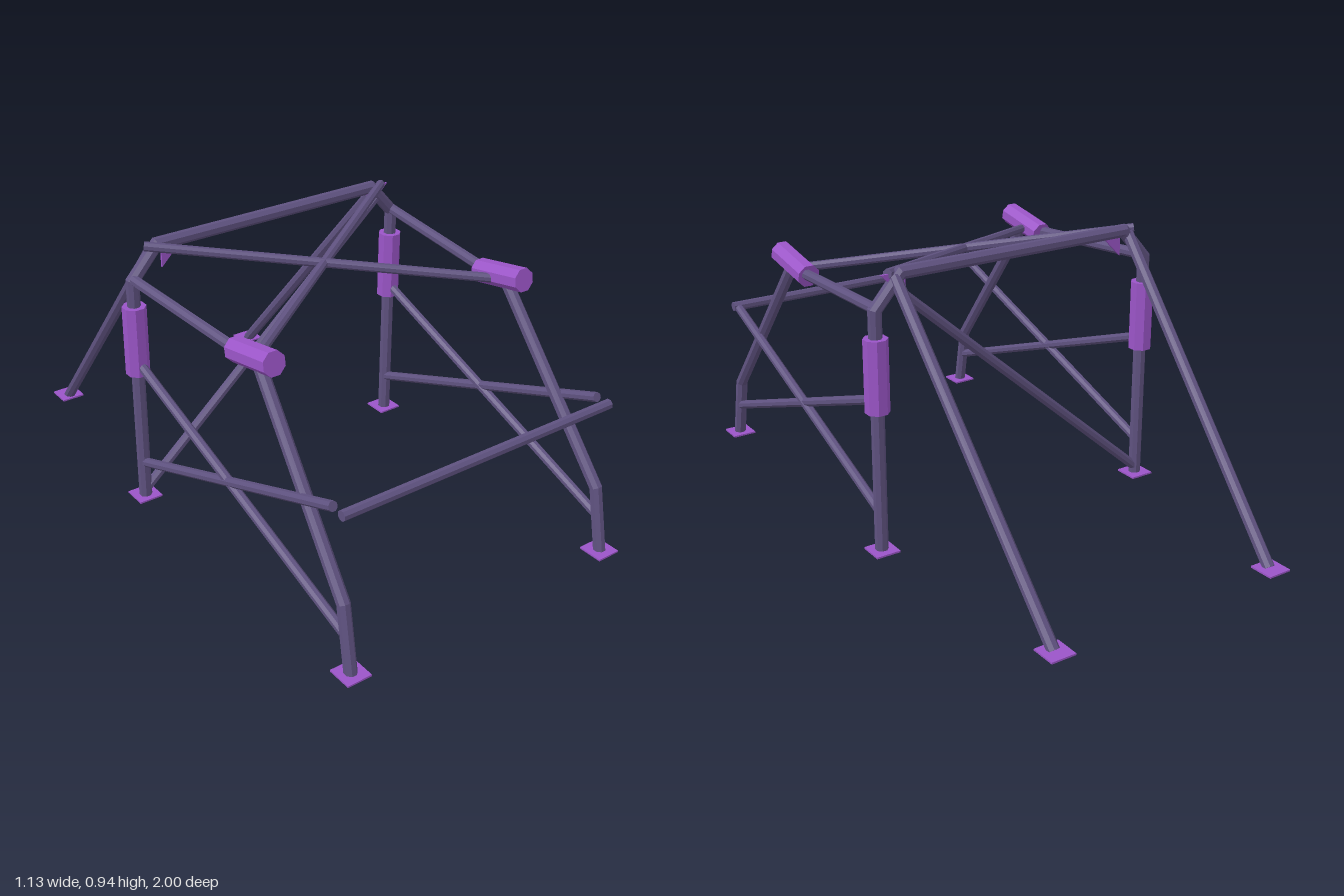
import * as THREE from 'three';

const V = (x, y, z) => new THREE.Vector3(x, y, z);
const SIDES = 8;

// Octagonal pipe through the given points, with mitred bends and closed ends
function pipeGeometry(points, r) {
  const n = points.length, pos = [], idx = [];
  const dirs = points.slice(1).map((p, i) => p.clone().sub(points[i]).normalize());
  const ref = Math.abs(dirs[0].y) > 0.9 ? V(0, 0, 1) : V(0, 1, 0);
  const u = ref.cross(dirs[0]).normalize();
  const v = dirs[0].clone().cross(u);
  let ring = [];
  for (let k = 0; k < SIDES; k++) {
    const a = (k + 0.5) / SIDES * Math.PI * 2;
    ring.push(points[0].clone().addScaledVector(u, r * Math.cos(a)).addScaledVector(v, r * Math.sin(a)));
  }
  ring.forEach(p => pos.push(p.x, p.y, p.z));
  for (let i = 1; i < n; i++) {
    const d = dirs[i - 1];
    const normal = d.clone().add(dirs[i] || d).normalize();
    ring = ring.map(p => p.clone().addScaledVector(d, points[i].clone().sub(p).dot(normal) / d.dot(normal)));
    ring.forEach(p => pos.push(p.x, p.y, p.z));
    for (let k = 0; k < SIDES; k++) {
      const a = (i - 1) * SIDES + k, b = (i - 1) * SIDES + (k + 1) % SIDES;
      idx.push(a, b, b + SIDES, a, b + SIDES, a + SIDES);
    }
  }
  const last = (n - 1) * SIDES;
  for (let k = 1; k < SIDES - 1; k++) {
    idx.push(0, k + 1, k, last, last + k, last + k + 1);
  }
  const g = new THREE.BufferGeometry();
  g.setAttribute('position', new THREE.Float32BufferAttribute(pos, 3));
  g.setIndex(idx);
  const flat = g.toNonIndexed();
  flat.computeVertexNormals();
  return flat;
}

export function createModel() {
  const group = new THREE.Group();
  const steel = new THREE.MeshStandardMaterial({ color: 0x5f5280 });
  steel.name = 'dark violet steel';
  const purple = new THREE.MeshStandardMaterial({ color: 0x9b55c8 });
  purple.name = 'bright purple';

  const add = (name, geometry, material) => {
    const mesh = new THREE.Mesh(geometry, material);
    mesh.name = name;
    group.add(mesh);
    return mesh;
  };
  const pipe = (name, r, points, material = steel) => add(name, pipeGeometry(points, r), material);

  const HOOP_Z = -0.172;

  // Main hoop behind the seats, with its diagonal brace
  pipe('mainHoop', 0.022, [
    V(-0.523, 0.015, HOOP_Z), V(-0.523, 0.82, HOOP_Z), V(-0.43, 0.925, HOOP_Z),
    V(0.43, 0.925, HOOP_Z), V(0.523, 0.82, HOOP_Z), V(0.523, 0.015, HOOP_Z),
  ]);
  pipe('hoopDiagonal', 0.017, [V(-0.515, 0.045, HOOP_Z), V(0.465, 0.892, HOOP_Z)]);

  // Dashboard cross bar
  pipe('dashBar', 0.017, [V(-0.515, 0.535, 0.914), V(0.515, 0.535, 0.914)]);

  for (const s of [-1, 1]) {
    const side = s > 0 ? 'left' : 'right';

    // Windscreen pillar running back along the roof edge to the hoop
    pipe(side + 'FrontPillar', 0.021, [
      V(s * 0.505, 0.015, 0.957), V(s * 0.502, 0.235, 0.914), V(s * 0.478, 0.795, 0.472),
    ]);
    pipe(side + 'RoofRail', 0.018, [V(s * 0.478, 0.79, 0.46), V(s * 0.522, 0.827, HOOP_Z)]);

    // Crossed door bars
    pipe(side + 'RisingDoorBar', 0.016, [V(s * 0.505, 0.14, 0.92), V(s * 0.522, 0.535, HOOP_Z)]);
    pipe(side + 'FallingDoorBar', 0.016, [V(s * 0.51, 0.54, 0.87), V(s * 0.522, 0.148, HOOP_Z)]);

    // Roof cross and rear stay
    pipe(side + 'RoofCrossBar', 0.0155, [V(s * 0.475, 0.928, HOOP_Z), V(-s * 0.465, 0.795, 0.44)]);
    pipe(side + 'RearStay', 0.02, [V(s * 0.45, 0.915, HOOP_Z), V(s * 0.418, 0.017, -0.95)]);

    // Padding sleeves
    pipe(side + 'HoopPad', 0.04, [V(s * 0.523, 0.493, HOOP_Z), V(s * 0.523, 0.734, HOOP_Z)], purple);
    pipe(side + 'FrontPad', 0.04, [V(s * 0.478, 0.789, 0.35), V(s * 0.478, 0.826, 0.55)], purple);

    // Floor plates
    for (const [name, x, z] of [['Front', 0.504, 0.957], ['Hoop', 0.523, -0.175], ['Rear', 0.418, -0.957]]) {
      add(side + name + 'FootPlate', new THREE.BoxGeometry(0.085, 0.006, 0.085), purple)
        .position.set(s * x, 0.017, z);
    }

    // Triangular gusset plate under the hoop corner, same orientation on both sides
    const tri = new THREE.Shape([
      new THREE.Vector2(0, 0), new THREE.Vector2(0, -0.085), new THREE.Vector2(0.085, 0),
    ]);
    add(side + 'Gusset', new THREE.ExtrudeGeometry(tri, { depth: 0.008, bevelEnabled: false }), purple)
      .position.set(s * 0.415, 0.927, HOOP_Z - 0.004);
  }

  return group;
}
